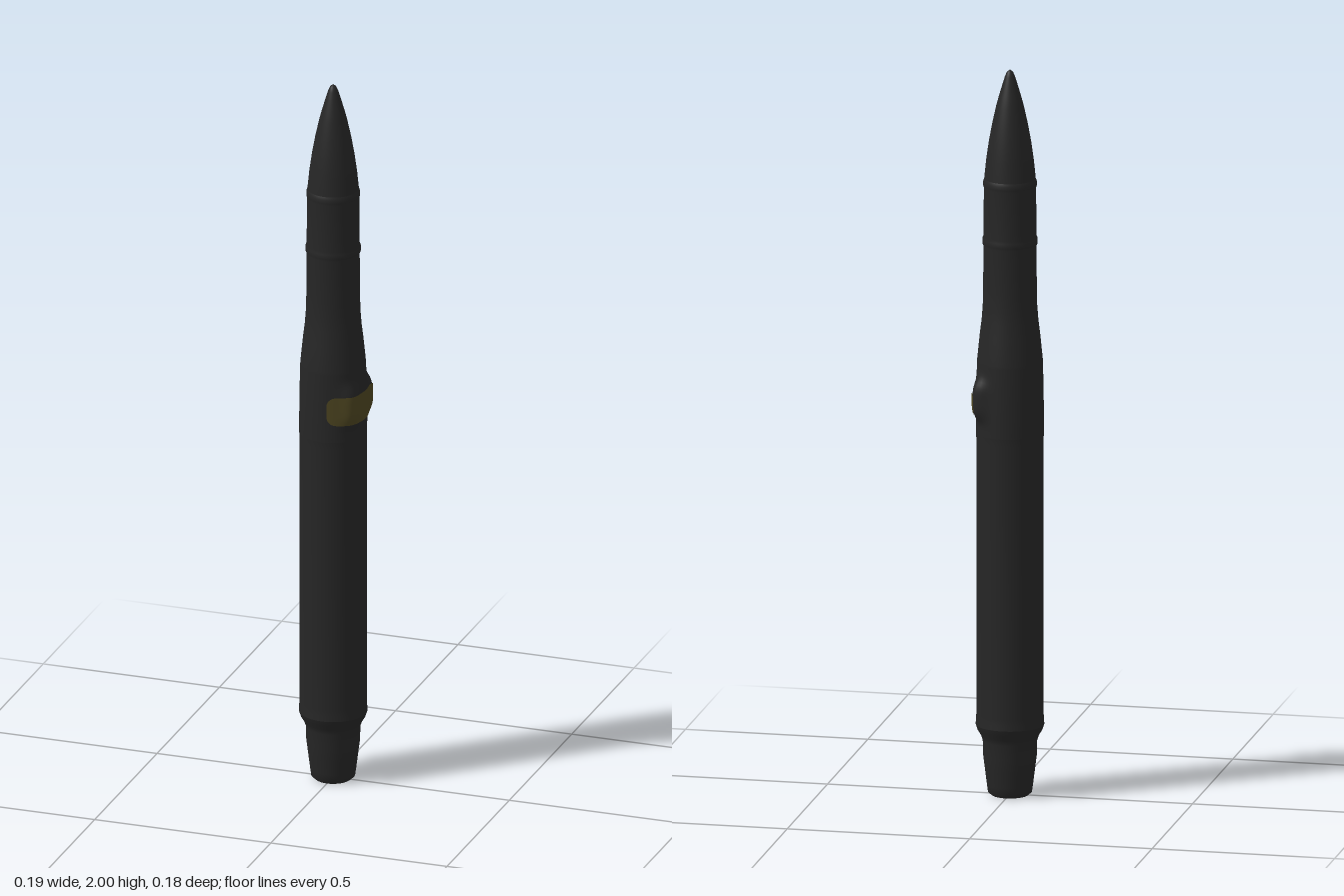
import * as THREE from 'three';
import { mergeVertices } from 'three/addons/utils/BufferGeometryUtils.js';

const rad = THREE.MathUtils.degToRad;

// Extra radius of the two shoulder bumps, at angle phi (from +z towards +x) and height y
function bump(phi, y) {
  const peak = (centre, width, height) => height * Math.exp(-(((phi - rad(centre)) / rad(width)) ** 2));
  const around = peak(131, 16, 0.021) + peak(50, 16, 0.012) + peak(90, 25, 0.002);
  return around * Math.exp(-(((y - 1.1) / 0.055) ** 4));
}

export function createModel() {
  const casingBlack = new THREE.MeshStandardMaterial({ color: 0x262626 });
  const bandGold = new THREE.MeshStandardMaterial({ color: 0x4c4420 });
  const model = new THREE.Group();
  model.name = 'cartridge';

  function add(name, geometry, material) {
    const mesh = new THREE.Mesh(geometry, material);
    mesh.name = name;
    model.add(mesh);
    return mesh;
  }

  // Turned part from [radius, y] points, with the bumps pushed out of it
  function turned(name, profile) {
    let geo = new THREE.LatheGeometry(profile.map(([r, y]) => new THREE.Vector2(r, y)), 72);
    const p = geo.attributes.position;
    for (let i = 0; i < p.count; i++) {
      const x = p.getX(i), y = p.getY(i), z = p.getZ(i);
      const r = Math.hypot(x, z);
      if (r < 1e-5) continue;
      let phi = Math.atan2(x, z);
      if (phi < -Math.PI / 2) phi += Math.PI * 2;
      const k = 1 + bump(phi, y) / r;
      p.setXYZ(i, x * k, y, z * k);
    }
    geo.deleteAttribute('uv');
    geo.deleteAttribute('normal');
    geo = mergeVertices(geo, 1e-5);
    geo.computeVertexNormals();
    add(name, geo, casingBlack);
  }

  // Base cap and tapered tail
  turned('baseCap', [[0, 0.005], [0.05, 0]]);
  turned('tail', [[0.05, 0], [0.059, 0.008], [0.062, 0.03], [0.067, 0.07], [0.072, 0.11],
    [0.073, 0.15], [0.078, 0.165], [0.087, 0.18], [0.092, 0.195]]);

  // Long straight casing with a rim at its foot
  turned('casing', [[0.092, 0.195], [0.091, 0.21], [0.09, 0.225], [0.09, 0.6], [0.09, 0.98], [0.091, 1.0]]);

  // Shoulder carrying the bumps
  const shoulder = [];
  for (let i = 0; i <= 24; i++) shoulder.push([0.091 - 0.003 * (i / 24) ** 2, 1.0 + 0.2 * i / 24]);
  turned('shoulder', [...shoulder, [0.085, 1.23], [0.081, 1.27], [0.076, 1.31], [0.073, 1.35], [0.072, 1.39]]);

  // Neck with two shallow rings
  turned('neck', [[0.072, 1.39], [0.071, 1.515], [0.074, 1.522], [0.074, 1.535], [0.071, 1.542],
    [0.07, 1.675], [0.072, 1.682], [0.072, 1.692], [0.069, 1.7]]);

  // Pointed nose
  turned('nose', [[0.069, 1.7], [0.064, 1.75], [0.057, 1.8], [0.048, 1.85], [0.037, 1.9],
    [0.029, 1.93], [0.02, 1.96], [0.014, 1.98], [0.008, 1.994], [0, 2]]);

  // Painted band with rounded ends, wrapped over the bumps
  const band = new THREE.PlaneGeometry(2, 2, 60, 8);
  const b = band.attributes.position;
  for (let i = 0; i < b.count; i++) {
    const s = b.getX(i);
    const phi = rad(70 + 62 * s);
    const y = 1.09 + b.getY(i) * 0.041 * Math.sqrt(1 - 0.8 * Math.abs(s) ** 10);
    const r = 0.0925 + bump(phi, y);
    b.setXYZ(i, r * Math.sin(phi), y, r * Math.cos(phi));
  }
  band.computeVertexNormals();
  add('paintedBand', band, bandGold);

  return model;
}
